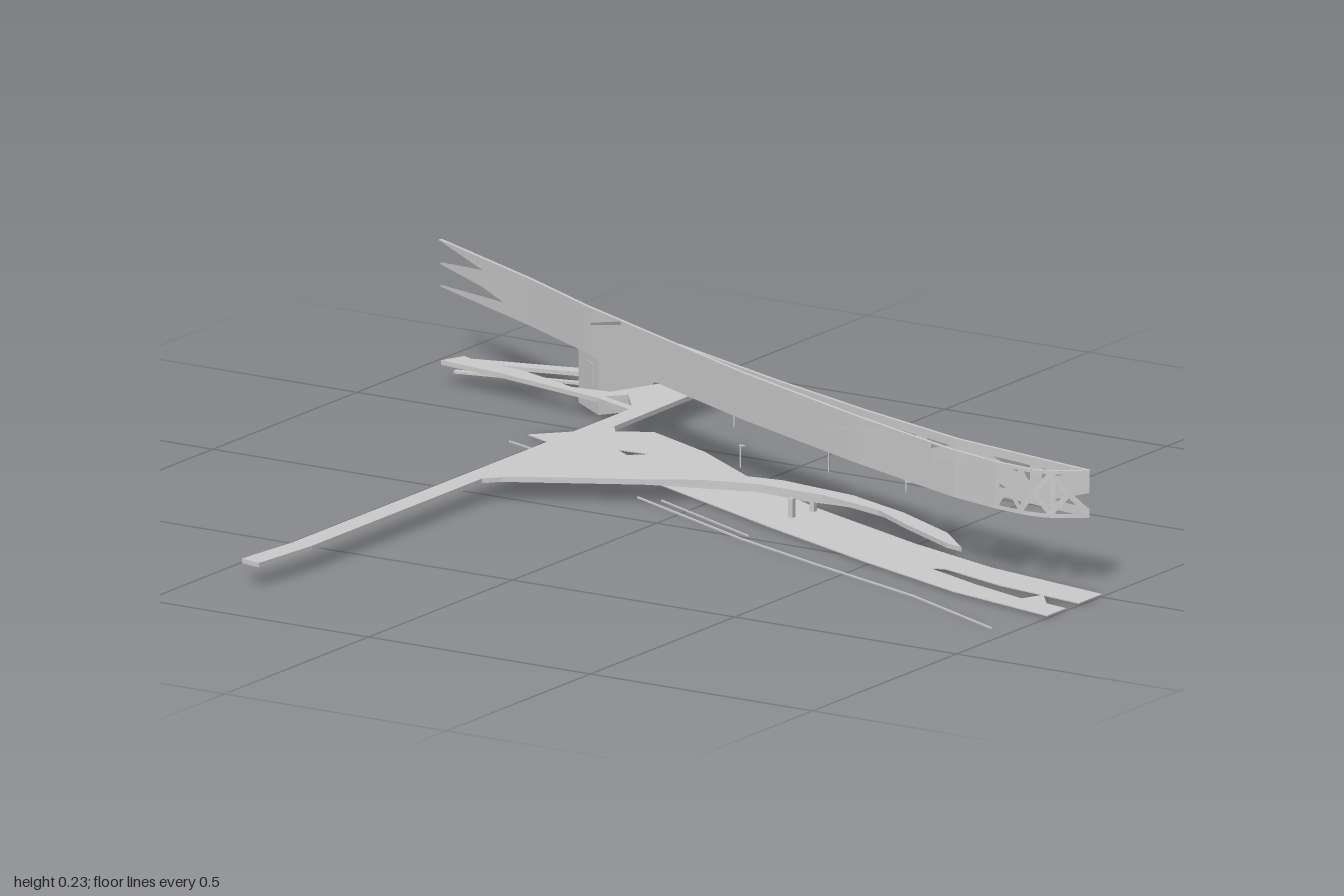
import * as THREE from 'three';

const mat = new THREE.MeshStandardMaterial({ color: 0xcccccc, side: THREE.DoubleSide, flatShading: true });

// Plan curves of the raised wall, as [x, z]
const frontCurve = [[-1, -0.79], [-0.7, -0.64], [-0.5, -0.53], [0, -0.285], [0.35, -0.135], [0.65, -0.02],
  [0.77, 0.01], [0.86, 0.022], [0.91, 0.005], [0.955, -0.03]];
const backCurve = [[-0.2, -0.385], [0.1, -0.265], [0.35, -0.175], [0.62, -0.09], [0.955, -0.03]];

function zAt(curve, x) {
  for (let i = 1; i < curve.length; i++) {
    const [x0, z0] = curve[i - 1], [x1, z1] = curve[i];
    if (x <= x1 + 1e-6) return z0 + (z1 - z0) * (x - x0) / (x1 - x0);
  }
  return curve[curve.length - 1][1];
}

// Upright panel following a plan curve: bottom and top heights given at both ends
function panel(curve, x0, x1, b0, t0, b1, t1) {
  const n = Math.max(1, Math.ceil(Math.abs(x1 - x0) / 0.04));
  const pos = [], idx = [];
  for (let i = 0; i <= n; i++) {
    const t = i / n, x = x0 + (x1 - x0) * t, z = zAt(curve, x);
    pos.push(x, b0 + (b1 - b0) * t, z, x, t0 + (t1 - t0) * t, z);
    if (i < n) idx.push(2 * i, 2 * i + 2, 2 * i + 1, 2 * i + 1, 2 * i + 2, 2 * i + 3);
  }
  const g = new THREE.BufferGeometry();
  g.setAttribute('position', new THREE.Float32BufferAttribute(pos, 3));
  g.setIndex(idx);
  g.computeVertexNormals();
  return g;
}

// Horizontal slab from a plan outline of [x, z]
function slab(points, y, depth, holes = []) {
  const toV = p => new THREE.Vector2(p[0], -p[1]);
  const shape = new THREE.Shape(points.map(toV));
  holes.forEach(h => shape.holes.push(new THREE.Path(h.map(toV))));
  const g = new THREE.ExtrudeGeometry(shape, { depth, bevelEnabled: false });
  return g.rotateX(-Math.PI / 2).translate(0, y, 0);
}

// Straight flat strip between two plan points
function strip(a, b, w, y, depth) {
  const dx = b[0] - a[0], dz = b[1] - a[1], l = Math.hypot(dx, dz) * 2 / w;
  const ox = -dz / l, oz = dx / l;
  return slab([[a[0] + ox, a[1] + oz], [b[0] + ox, b[1] + oz], [b[0] - ox, b[1] - oz], [a[0] - ox, a[1] - oz]], y, depth);
}

export function createModel() {
  const root = new THREE.Group();
  const add = (geo, name, parent = root) => {
    const m = new THREE.Mesh(geo, mat);
    m.name = name;
    parent.add(m);
  };
  const group = name => {
    const g = new THREE.Group();
    g.name = name;
    root.add(g);
    return g;
  };
  const stripPath = (path, w, y, depth, name, parent) => {
    for (let i = 1; i < path.length; i++) add(strip(path[i - 1], path[i], w, y, depth), name, parent);
  };
  const B = 0.142, T = 0.235;

  // Raised wall: three pointed tines, then panels around slit openings
  const wall = group('raisedWall');
  const f = (...a) => add(panel(frontCurve, ...a), 'wallPanel', wall);
  f(-1, -0.86, 0.231, T, 0.21, T);
  f(-1, -0.86, 0.186, 0.19, 0.177, 0.21);
  f(-0.86, -0.79, 0.177, T, 0.165, T);
  f(-1, -0.79, B, 0.146, B, 0.165);
  f(-0.79, -0.49, B, T, B, T);
  f(-0.49, -0.39, B, 0.2, B, 0.225);
  f(-0.49, -0.39, 0.204, T, 0.232, T);
  f(-0.39, 0.27, B, T, B, T);
  f(0.27, 0.44, B, 0.188, B, 0.215);
  f(0.27, 0.44, 0.19, T, 0.229, T);
  f(0.44, 0.59, B, T, B, T);
  f(0.59, 0.69, B, 0.195, B, 0.218);
  f(0.59, 0.69, 0.231, T, 0.231, T);
  f(0.69, 0.77, B, T, B, T);

  // Narrow cappings along the top edges
  stripPath(frontCurve, 0.007, T - 0.003, 0.003, 'wallCapping', wall);
  stripPath(backCurve, 0.007, T - 0.003, 0.003, 'wallCapping', wall);

  // Open lattice at the curved end: chords, uprights and crossed braces
  const endLattice = group('curvedEndLattice');
  const e = (...a) => add(panel(frontCurve, ...a), 'latticeBar', endLattice);
  const x0 = 0.77, bay = 0.185 / 3;
  e(x0, 0.955, B, B + 0.008, B, B + 0.008);
  e(x0, 0.955, T - 0.008, T, T - 0.008, T);
  for (let i = 0; i < 3; i++) {
    const a = x0 + i * bay, b = a + bay;
    e(a, a + 0.01, B, T, B, T);
    e(a, b, B, B + 0.016, T - 0.016, T);
    e(a, b, T - 0.016, T, B, B + 0.016);
  }

  // Rear wall: deep chords with broad zigzag webs leaving small triangular openings
  const rear = group('rearWall');
  const r = (...a) => add(panel(backCurve, ...a), 'rearWeb', rear);
  r(-0.2, 0.2, B, T, B, T);
  r(0.2, 0.955, B, B + 0.018, B, B + 0.018);
  r(0.2, 0.955, T - 0.018, T, T - 0.018, T);
  for (let i = 0; i < 5; i++) {
    const a = 0.2 + i * 0.151, b = a + 0.151;
    r(a, a + 0.03, B, T, B, T);
    if (i % 2) r(a, b, T - 0.045, T, B, B + 0.045);
    else r(a, b, B, B + 0.045, T - 0.045, T);
  }

  // Ground band with a notched end
  add(slab([[-0.55, -0.4], [-0.48, -0.475], [-0.36, -0.545], [-0.2, -0.475], [0, -0.345], [0.2, -0.245],
    [0.5, -0.125], [0.72, -0.055], [1, -0.005], [1, 0.075], [0.8, 0.045], [0.65, 0], [0.62, 0.01], [0.76, 0.065],
    [0.89, 0.105], [0.91, 0.06], [0.95, 0.11], [1, 0.12], [1, 0.185], [0.75, 0.13], [0.5, 0.04],
    [0.2, -0.08], [-0.1, -0.21], [-0.36, -0.325]], 0.003, 0.002,
  [[[-0.35, -0.4], [-0.275, -0.405], [-0.31, -0.375]]]), 'groundBand');

  // Thin kerb lines on the ground
  const kerbs = group('groundKerbs');
  stripPath([[-0.13, -0.135], [0.2, 0.015], [0.42, 0.095], [0.7, 0.19], [0.955, 0.31]], 0.004, 0, 0.003, 'kerb', kerbs);
  stripPath([[-0.56, -0.35], [-0.36, -0.28]], 0.003, 0, 0.003, 'kerb', kerbs);
  stripPath([[-0.08, -0.14], [0.2, -0.01]], 0.003, 0, 0.003, 'kerb', kerbs);

  // Deck: long pier, curved branch and side branch in one outline
  add(slab([[-0.36, -0.79], [-0.355, -0.4], [-0.21, -0.2], [-0.12, -0.19], [0, -0.22], [0.13, -0.24],
    [0.3, -0.22], [0.45, -0.165], [0.6, -0.085], [0.68, -0.01], [0.64, -0.02], [0.5, -0.095], [0.4, -0.155],
    [0.25, -0.19], [0.1, -0.19], [0, -0.16], [-0.1, -0.1], [-0.25, -0.02], [-0.33, 0.03], [-0.355, 0.06],
    [-0.355, 0.65], [-0.37, 0.81], [-0.415, 0.8], [-0.4, 0.65], [-0.4, -0.52], [-0.5, -0.56], [-0.74, -0.61],
    [-0.895, -0.63], [-0.875, -0.68], [-0.84, -0.665], [-0.72, -0.65], [-0.58, -0.6], [-0.5, -0.61], [-0.46, -0.7], [-0.405, -0.79]],
  0.04, 0.009, [[[-0.49, -0.575], [-0.41, -0.545], [-0.46, -0.61]]]), 'deck');

  // Sloping side tie with a lower rail
  add(strip([-0.85, -0.66], [-0.41, -0.775], 0.03, 0.04, 0.008), 'deckTie');
  add(strip([-0.88, -0.655], [-0.37, -0.775], 0.012, 0.021, 0.005), 'lowerRail');

  // Tapered ribs and posts below the curved branch
  const supports = group('deckSupports');
  const ribCurve = [[-0.34, 0.02], [-0.1, -0.13], [0.1, -0.21], [0.3, -0.2], [0.45, -0.14]];
  add(panel(ribCurve, -0.34, 0.2, 0.036, 0.041, 0.026, 0.041), 'rib', supports);
  add(panel(ribCurve, 0.2, 0.45, 0.026, 0.041, 0.038, 0.041), 'rib', supports);
  for (const [x, z] of [[0.21, -0.22], [0.2, -0.16]])
    add(new THREE.BoxGeometry(0.01, 0.042, 0.01).translate(x, 0.021, z), 'post', supports);

  // Tower block, turned in plan, with cap, seam and door
  const tower = group('tower');
  tower.position.set(-0.535, 0, -0.682);
  tower.rotation.y = -0.61;
  const box = (w, h, d, x, y, z, name) => add(new THREE.BoxGeometry(w, h, d).translate(x, y, z), name, tower);
  box(0.1, 0.138, 0.111, 0, 0.069, 0, 'towerBody');
  box(0.102, 0.004, 0.113, 0, 0.139, 0, 'towerCap');
  box(0.102, 0.003, 0.113, 0, 0.108, 0, 'towerSeam');
  box(0.03, 0.045, 0.002, 0.01, 0.072, 0.056, 'towerDoor');

  // Stairs descending at the back of the tower
  const stairs = group('stairs');
  for (let i = 0; i < 7; i++) {
    const t = i / 6;
    add(new THREE.BoxGeometry(0.032, 0.006, 0.014)
      .translate(-0.535 - 0.015 * t, 0.044 - 0.04 * t, -0.745 - 0.065 * t), 'step', stairs);
  }
  for (const s of [-0.018, 0.018]) {
    const path = new THREE.LineCurve3(new THREE.Vector3(-0.535 + s, 0.062, -0.745), new THREE.Vector3(-0.55 + s, 0.02, -0.812));
    add(new THREE.TubeGeometry(path, 1, 0.003, 5), 'handrail', stairs);
  }

  // Slim lamp posts with short arms
  const lamps = group('lampPosts');
  for (const [x, z, top] of [[0, -0.29, 0.088], [0.16, -0.35, 0.088], [0.36, -0.31, 0.065], [-0.17, -0.53, 0.075]]) {
    add(new THREE.CylinderGeometry(0.0015, 0.0015, top - 0.045, 5).translate(x, (top + 0.045) / 2, z), 'lampPost', lamps);
    add(new THREE.BoxGeometry(0.012, 0.002, 0.004).translate(x + 0.005, top, z), 'lampArm', lamps);
  }
  return root;
}
